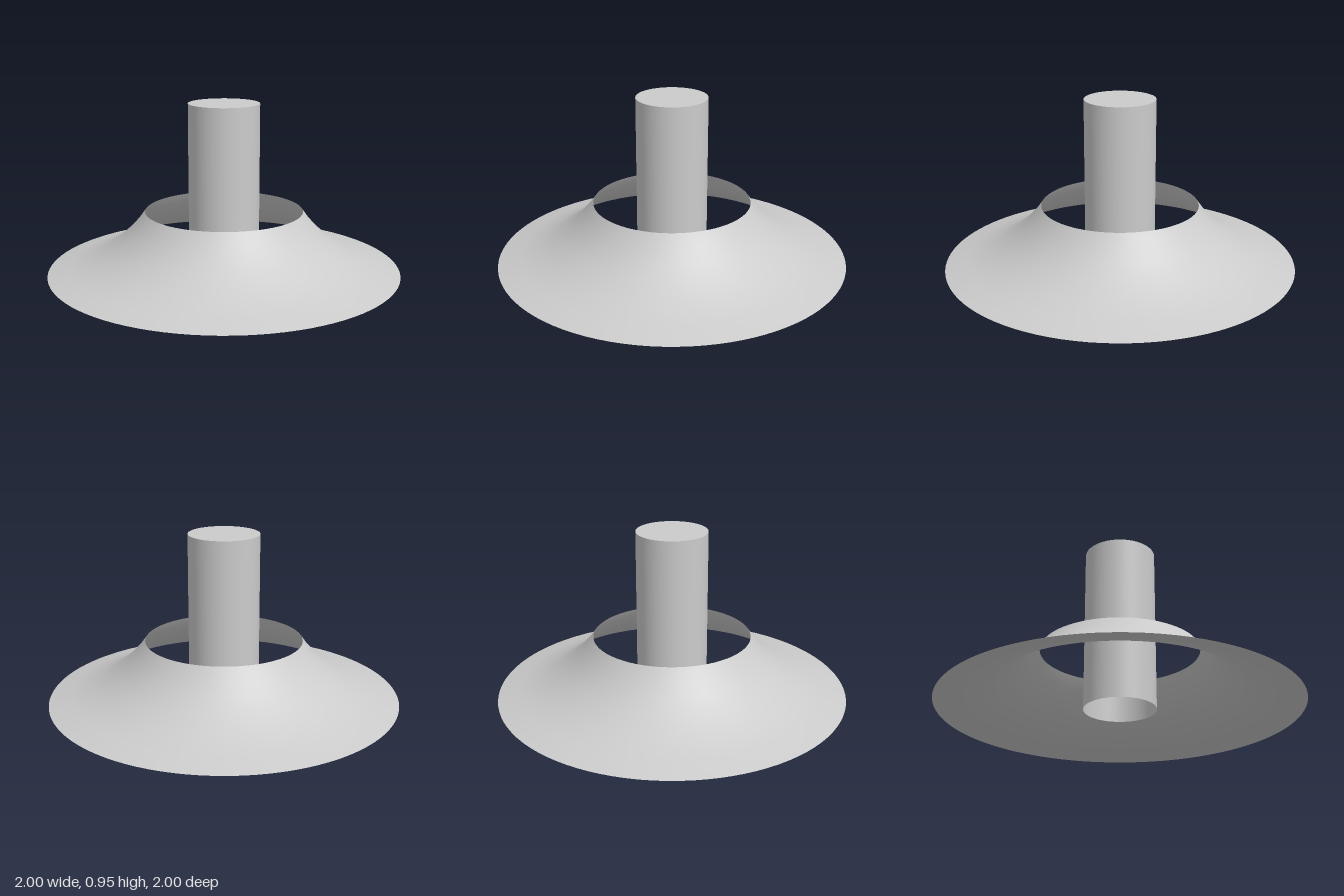
import * as THREE from 'three';

export function createModel() {
  const group = new THREE.Group();
  const material = new THREE.MeshStandardMaterial({ color: 0xcccccc, side: THREE.DoubleSide });
  const add = (name, geometry) => {
    const mesh = new THREE.Mesh(geometry, material);
    mesh.name = name;
    group.add(mesh);
    return mesh;
  };

  // Thin flared skirt, open at the top and bottom
  const profile = [
    [1, 0], [0.87, 0.035], [0.74, 0.077], [0.62, 0.155],
    [0.55, 0.215], [0.49, 0.28], [0.447, 0.34],
  ].map(([r, y]) => new THREE.Vector2(r, y));
  add('flaredSkirt', new THREE.LatheGeometry(profile, 96));

  // Central post: hollow tube closed by a flat cap on top
  const radius = 0.2, height = 0.95;
  add('postWall', new THREE.CylinderGeometry(radius, radius, height, 64, 1, true))
    .position.y = height / 2;
  const cap = add('postCap', new THREE.CircleGeometry(radius, 64));
  cap.rotation.x = -Math.PI / 2;
  cap.position.y = height;

  return group;
}
